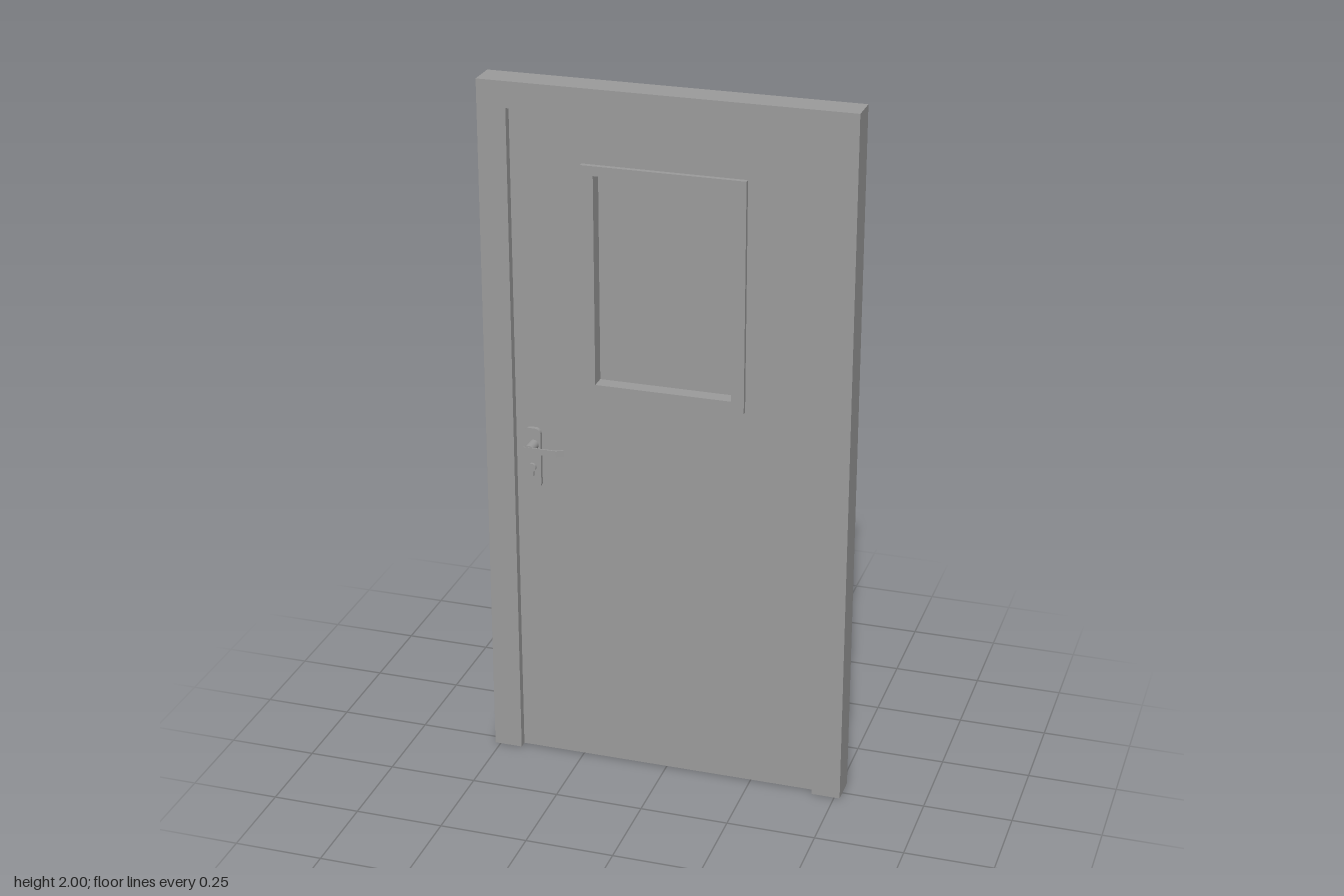
import * as THREE from 'three';

const mat = new THREE.MeshStandardMaterial({ color: 0x9b9b9b });

// Traces a rectangle, rounded when r > 0, on a Shape or Path
function rect(path, x0, y0, x1, y1, r = 0) {
  if (r === 0) {
    path.moveTo(x0, y0).lineTo(x1, y0).lineTo(x1, y1).lineTo(x0, y1);
  } else {
    path.absarc(x1 - r, y0 + r, r, -Math.PI / 2, 0);
    path.absarc(x1 - r, y1 - r, r, 0, Math.PI / 2);
    path.absarc(x0 + r, y1 - r, r, Math.PI / 2, Math.PI);
    path.absarc(x0 + r, y0 + r, r, Math.PI, Math.PI * 1.5);
  }
  path.closePath();
  return path;
}

// Extrudes a shape from z0 to z1
function slab(shape, z0, z1) {
  const g = new THREE.ExtrudeGeometry(shape, { depth: z1 - z0, bevelEnabled: false, curveSegments: 8 });
  return g.translate(0, 0, z0);
}

function box(x0, x1, y0, y1, z0, z1) {
  return new THREE.BoxGeometry(x1 - x0, y1 - y0, z1 - z0)
    .translate((x0 + x1) / 2, (y0 + y1) / 2, (z0 + z1) / 2);
}

function add(parent, name, geometry) {
  const mesh = new THREE.Mesh(geometry, mat);
  mesh.name = name;
  parent.add(mesh);
  return mesh;
}

function group(parent, name) {
  const g = new THREE.Group();
  g.name = name;
  parent.add(g);
  return g;
}

export function createModel() {
  const model = new THREE.Group();
  model.name = 'door';

  // Frame: two jambs and a head in one arch-shaped outline
  const frame = new THREE.Shape();
  frame.moveTo(-0.516, 0).lineTo(-0.435, 0).lineTo(-0.435, 1.927).lineTo(0.434, 1.927);
  frame.lineTo(0.434, 0).lineTo(0.516, 0).lineTo(0.516, 2).lineTo(-0.516, 2).closePath();
  add(model, 'doorFrame', slab(frame, -0.054, 0.032));

  // Leaf with the window cut out
  const opening = [-0.197, 1.17, 0.185, 1.763];
  const leaf = rect(new THREE.Shape(), -0.433, 0.003, 0.43, 1.925);
  leaf.holes.push(rect(new THREE.Path(), ...opening));
  add(model, 'doorLeaf', slab(leaf, -0.05, 0.014));

  // Window: raised trim on both faces, pane in the middle
  const trim = rect(new THREE.Shape(), -0.233, 1.138, 0.221, 1.79);
  trim.holes.push(rect(new THREE.Path(), ...opening));
  add(model, 'windowTrimFront', slab(trim, 0.014, 0.028));
  add(model, 'windowTrimBack', slab(trim, -0.054, -0.05));
  add(model, 'windowPane', box(-0.197, 0.185, 1.17, 1.763, -0.023, -0.015));

  // Handle: plate, spindle, bent lever and key cylinder
  const handle = group(model, 'handle');
  add(handle, 'handlePlate', slab(rect(new THREE.Shape(), -0.407, 0.836, -0.359, 1.016, 0.016), 0.014, 0.026));
  const spindle = add(handle, 'handleSpindle', new THREE.CylinderGeometry(0.0145, 0.0145, 0.046, 24));
  spindle.rotation.x = Math.PI / 2;
  spindle.position.set(-0.379, 0.968, 0.046);

  const lever = new THREE.Shape();
  lever.moveTo(-0.393, 0.066).lineTo(-0.3, 0.066).lineTo(-0.282, 0.056).lineTo(-0.28, 0.059);
  lever.lineTo(-0.299, 0.07).lineTo(-0.393, 0.07).closePath();
  const leverGeo = new THREE.ExtrudeGeometry(lever, { depth: 0.018, bevelEnabled: false });
  leverGeo.rotateX(Math.PI / 2).translate(0, 0.977, 0);
  add(handle, 'handleLever', leverGeo);

  const lock = add(handle, 'keyCylinder', new THREE.CylinderGeometry(0.012, 0.012, 0.015, 20));
  lock.rotation.x = Math.PI / 2;
  lock.position.set(-0.384, 0.9, 0.0265);
  add(handle, 'keyCylinderTail', box(-0.389, -0.379, 0.874, 0.896, 0.02, 0.033));

  // Hinges on the back: one plate on the leaf, one on the frame, a barrel between
  for (const [name, y] of [['lowerHinge', 0.155], ['upperHinge', 1.838]]) {
    const hinge = group(model, name);
    hinge.position.y = y;
    add(hinge, 'hingeLeafPlate', box(0.379, 0.424, -0.035, 0.035, -0.058, -0.048));
    add(hinge, 'hingeFramePlate', box(0.424, 0.468, -0.035, 0.035, -0.058, -0.053));
    const barrel = add(hinge, 'hingeBarrel', new THREE.CylinderGeometry(0.0095, 0.0095, 0.07, 20));
    barrel.position.set(0.424, 0, -0.063);
  }

  return model;
}
